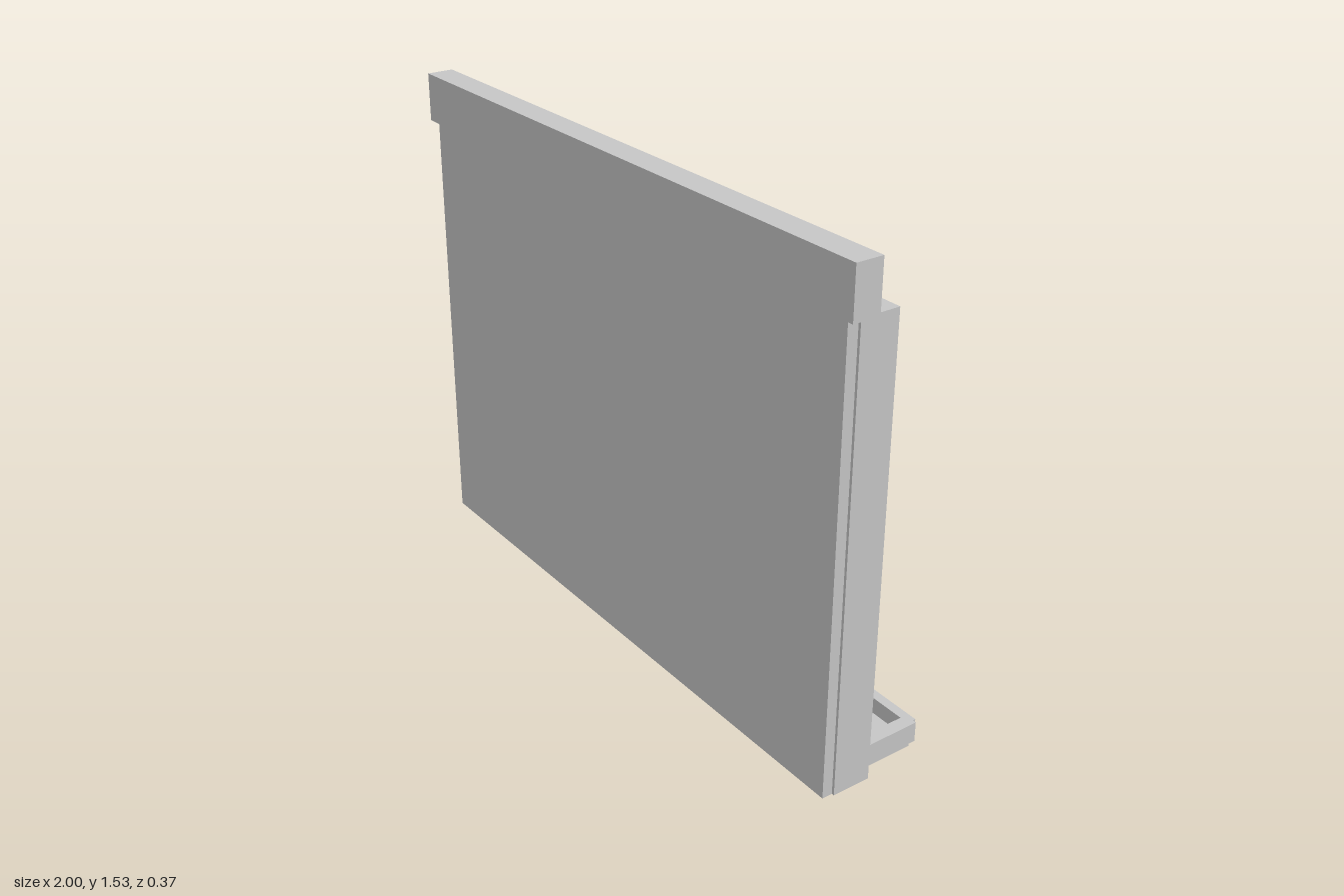
import * as THREE from 'three';

export function createModel() {
  const model = new THREE.Group();
  model.name = 'framedPanel';

  const grey = new THREE.MeshStandardMaterial({ color: 0xc6c6c6 });
  grey.name = 'grey';
  const black = new THREE.MeshStandardMaterial({ color: 0x2a2a2a });
  black.name = 'black';

  // Box given by its minimum and maximum along each axis
  function block(name, [x0, x1], [y0, y1], [z0, z1]) {
    const mesh = new THREE.Mesh(new THREE.BoxGeometry(x1 - x0, y1 - y0, z1 - z0), grey);
    mesh.position.set((x0 + x1) / 2, (y0 + y1) / 2, (z0 + z1) / 2);
    mesh.name = name;
    model.add(mesh);
  }

  // Same box on both sides
  function pair(name, [x0, x1], y, z) {
    block(name + 'Left', [x0, x1], y, z);
    block(name + 'Right', [-x1, -x0], y, z);
  }

  // Front sheet, top beam and side posts
  block('frontPanel', [-0.97, 0.97], [0, 1.38], [0.142, 0.175]);
  block('topBeam', [-1, 1], [1.38, 1.53], [0.103, 0.187]);
  pair('post', [0.898, 0.978], [0, 1.377], [0.021, 0.142]);

  // Horizontal rod with its two brackets
  const rodY = 0.737;
  const rod = new THREE.Mesh(new THREE.CylinderGeometry(0.024, 0.024, 1.8, 24), black);
  rod.rotation.z = Math.PI / 2;
  rod.position.set(0, rodY, 0.079);
  rod.name = 'rod';
  model.add(rod);
  pair('bracket', [0.242, 0.272], [rodY - 0.105, rodY + 0.105], [0.021, 0.142]);

  // Tray at the foot of the back
  block('trayFloor', [-0.94, 0.94], [0, 0.03], [-0.164, 0.021]);
  pair('traySide', [0.92, 0.96], [0.03, 0.092], [-0.164, 0.021]);
  block('trayRail', [-0.937, 0.937], [0.03, 0.08], [-0.185, -0.156]);

  return model;
}
